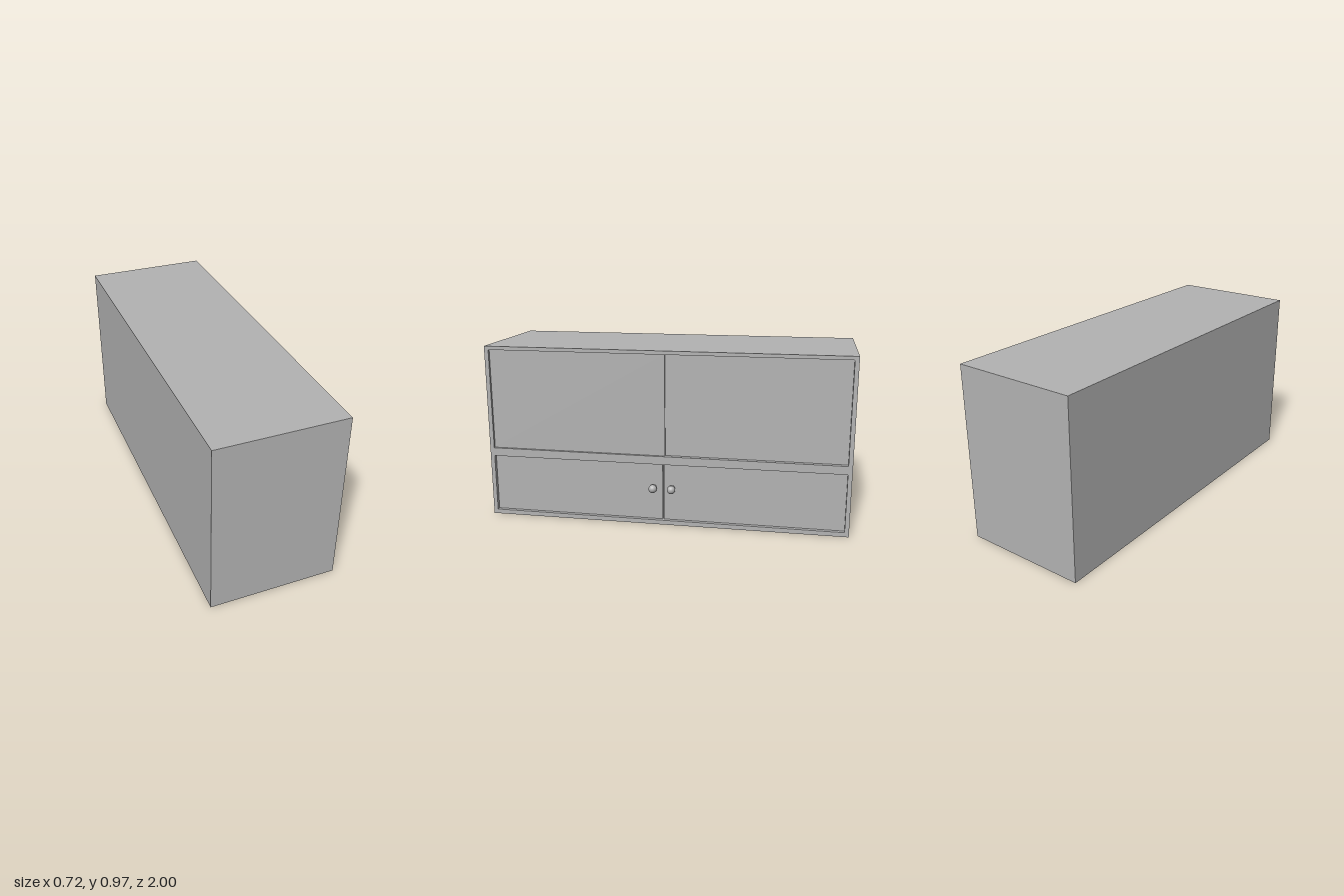
import * as THREE from 'three';

const BACK = -0.36, FRONT = 0.33, HEIGHT = 0.97, FRAME = 0.04;

export function createModel() {
  const group = new THREE.Group();
  group.name = 'cabinet';
  const grey = new THREE.MeshStandardMaterial({ color: 0xb3b3b3 });
  grey.name = 'grey';

  function add(name, geometry) {
    const mesh = new THREE.Mesh(geometry, grey);
    mesh.name = name;
    group.add(mesh);
    return mesh;
  }

  // Box given by its limits on each axis
  function box(name, x0, x1, y0, y1, z0, z1) {
    add(name, new THREE.BoxGeometry(x1 - x0, y1 - y0, z1 - z0))
      .position.set((x0 + x1) / 2, (y0 + y1) / 2, (z0 + z1) / 2);
  }

  // Rectangle in the plane of the doors
  function rect(path, y0, y1, u0, u1) {
    path.moveTo(u0, y0);
    path.lineTo(u1, y0);
    path.lineTo(u1, y1);
    path.lineTo(u0, y1);
    path.closePath();
    return path;
  }

  // Carcass behind the door frame
  const inner = FRONT - FRAME;
  box('carcass', BACK, inner, 0, HEIGHT, -1, 1);

  // Door frame with an upper and a lower opening
  const upper = [0.393, 0.95], lower = [0.025, 0.347], side = 0.977;
  const shape = rect(new THREE.Shape(), 0, HEIGHT, -1, 1);
  for (const [y0, y1] of [upper, lower]) {
    shape.holes.push(rect(new THREE.Path(), y0, y1, -side, side));
  }
  const frame = add('doorFrame', new THREE.ExtrudeGeometry(shape, { depth: FRAME, bevelEnabled: false }));
  frame.rotation.y = Math.PI / 2;
  frame.position.x = inner;

  // Upper sliding doors, one set behind the other
  box('upperDoorFront', inner, FRONT - 0.014, ...upper, -0.003, side);
  box('upperDoorRear', inner, FRONT - 0.026, ...upper, -side, -0.003);

  // Lower doors with a narrow gap
  const lowerFace = FRONT - 0.022;
  box('lowerDoorA', inner, lowerFace, ...lower, 0.011, side);
  box('lowerDoorB', inner, lowerFace, ...lower, -side, 0.004);

  // Round knobs on short flared stems
  const stem = [[0, 0], [0.018, 0], [0.018, 0.003], [0.012, 0.007], [0.012, 0.02]]
    .map(([r, h]) => new THREE.Vector2(r, h));
  for (const z of [0.063, -0.04]) {
    const base = add('knobStem', new THREE.LatheGeometry(stem, 24));
    base.rotation.z = -Math.PI / 2;
    base.position.set(lowerFace, 0.207, z);
    add('knob', new THREE.SphereGeometry(0.023, 24, 16)).position.set(0.334, 0.207, z);
  }

  return group;
}
